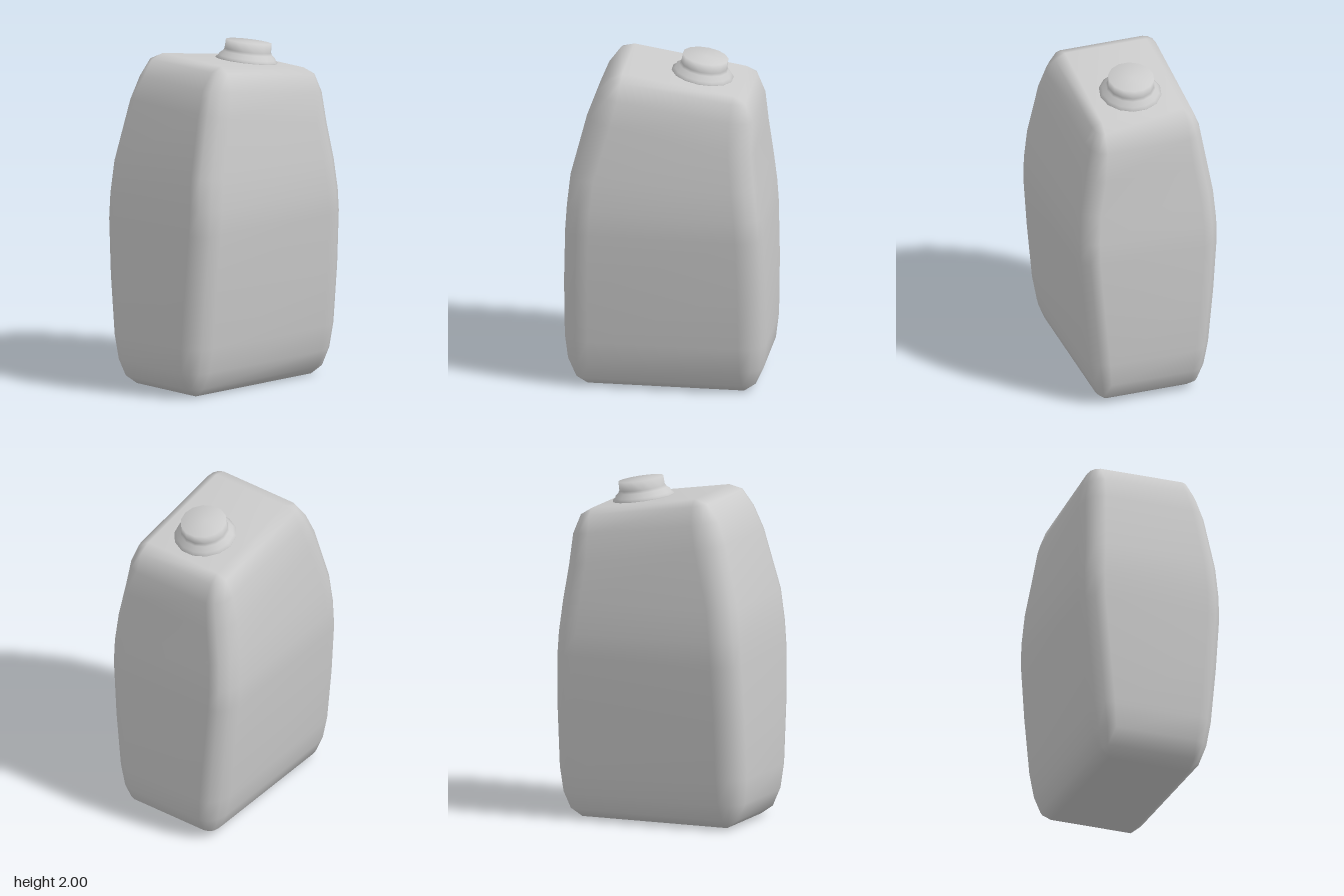
import * as THREE from 'three';
import { mergeVertices } from 'three/addons/utils/BufferGeometryUtils.js';

const TILT = -0.16; // slope of the shoulder and cap

// One ring per row: left x, left y, right x, right y, half depth, corner roundness
const RINGS = [
  [-0.46, 0, 0.46, 0, 0.25, 0],
  [-0.53, 0.05, 0.53, 0.05, 0.31, 0.5],
  [-0.575, 0.15, 0.575, 0.15, 0.35, 0.87],
  [-0.592, 0.3, 0.592, 0.3, 0.378, 1],
  [-0.592, 0.65, 0.592, 0.65, 0.41, 1],
  [-0.582, 0.98, 0.582, 0.98, 0.435, 1],
  [-0.572, 1.13, 0.573, 1.11, 0.435, 1],
  [-0.552, 1.32, 0.553, 1.29, 0.422, 1],
  [-0.46, 1.68, 0.53, 1.5, 0.385, 1],
  [-0.405, 1.815, 0.513, 1.68, 0.352, 0.87],
  [-0.335, 1.91, 0.467, 1.79, 0.31, 0.5],
  [-0.255, 1.935, 0.4, 1.832, 0.25, 0],
];
const CORNER_STEPS = 3;

// Rounded-rectangle outline of a ring, sloped from its left to its right end
function ringPoints([xl, yl, xr, yr, hz, round]) {
  const rx = 0.15 * round, rz = 0.115 * round;
  const points = [];
  for (let corner = 0; corner < 4; corner++) {
    const sx = corner === 0 || corner === 3 ? 1 : -1;
    const sz = corner < 2 ? 1 : -1;
    for (let i = 0; i <= CORNER_STEPS; i++) {
      const a = (corner + i / CORNER_STEPS) * Math.PI / 2;
      const x = (sx > 0 ? xr - rx : xl + rx) + rx * Math.cos(a);
      const z = sz * (hz - rz) + rz * Math.sin(a);
      points.push([x, yl + (yr - yl) * (x - xl) / (xr - xl), z]);
    }
  }
  return points;
}

function bodyGeometry() {
  const positions = [], index = [];
  const n = 4 * (CORNER_STEPS + 1);
  RINGS.forEach(r => ringPoints(r).forEach(p => positions.push(...p)));

  // Walls between neighbouring rings
  for (let r = 0; r < RINGS.length - 1; r++) {
    for (let i = 0; i < n; i++) {
      const a = r * n + i, b = r * n + (i + 1) % n;
      index.push(a, a + n, b, b, a + n, b + n);
    }
  }
  // Flat base and sloped top
  const top = (RINGS.length - 1) * n;
  for (let i = 1; i < n - 1; i++) {
    index.push(0, i, i + 1);
    index.push(top, top + i + 1, top + i);
  }
  const geometry = new THREE.BufferGeometry();
  geometry.setAttribute('position', new THREE.Float32BufferAttribute(positions, 3));
  geometry.setIndex(index);
  const merged = mergeVertices(geometry, 1e-4);
  merged.computeVertexNormals();
  return merged;
}

export function createModel() {
  const group = new THREE.Group();
  group.name = 'jerrycan';
  const material = new THREE.MeshStandardMaterial({ color: 0xcccccc });

  const body = new THREE.Mesh(bodyGeometry(), material);
  body.name = 'body';
  group.add(body);

  // Screw cap with a stepped collar, square to the sloped top
  const profile = [
    [0.178, -0.01], [0.184, 0.006], [0.168, 0.018], [0.164, 0.03],
    [0.145, 0.045], [0.137, 0.06], [0.135, 0.113], [0, 0.114],
  ].map(([r, y]) => new THREE.Vector2(r, y));
  const cap = new THREE.Mesh(new THREE.LatheGeometry(profile, 14), material);
  cap.name = 'cap';
  cap.position.set(0.18, 1.866, 0);
  cap.rotation.z = TILT;
  group.add(cap);

  return group;
}
